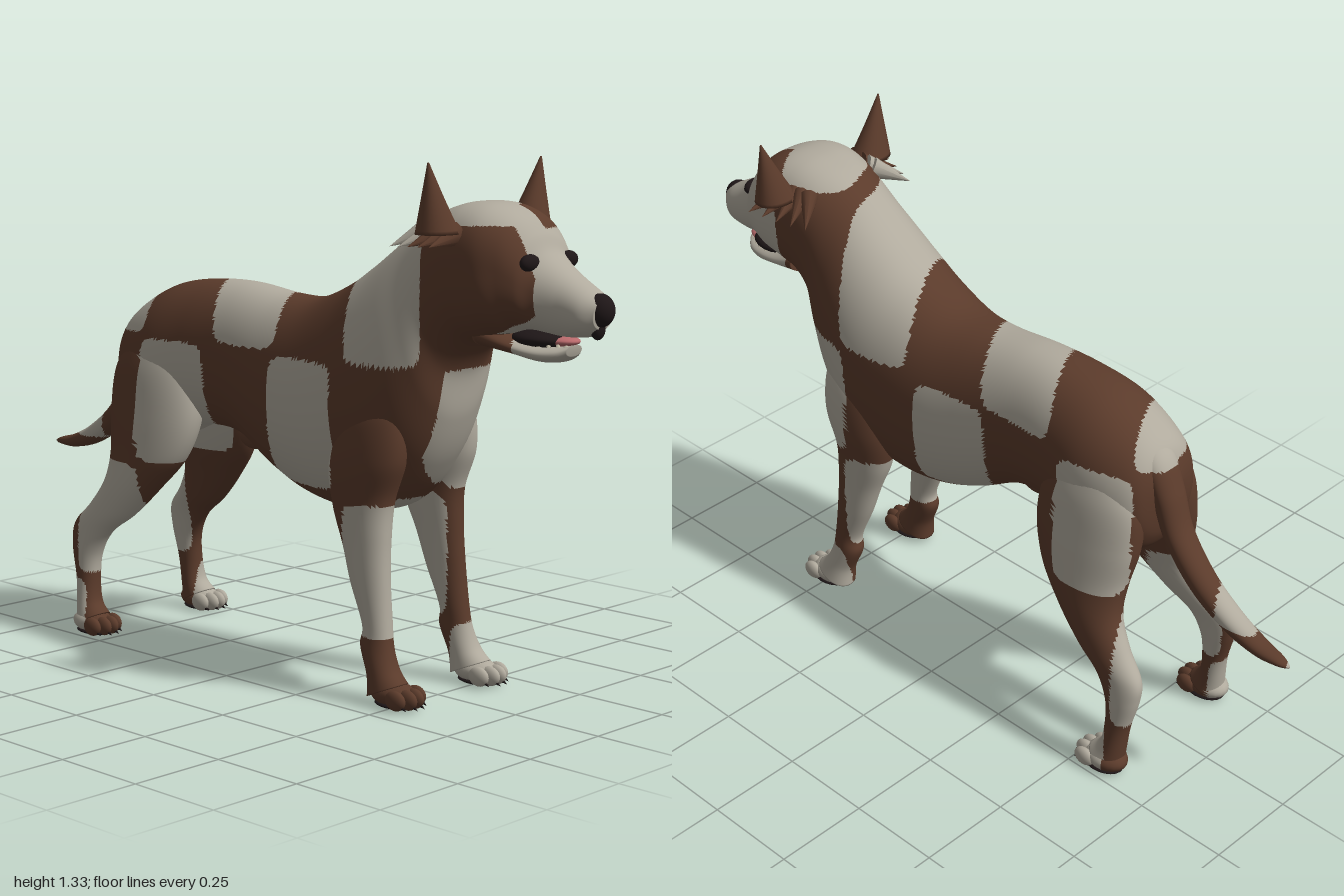
import * as THREE from 'three';

const mat = (name, color) => {
  const m = new THREE.MeshStandardMaterial({ color });
  m.name = name;
  return m;
};

// Coat pattern: slanted cells along the body crossed with bands by height,
// with the corners of the white patches rounded off
function isWhite(x, y, z) {
  // Blaze down the middle of the face beside a brown right cheek
  if (z > 0.7 && y > 0.93 && y < 1.24 && x < 0.03) return x > -0.06 || z > 0.84 || y > 1.185;
  // Brown right half of the chest
  if (z > 0.3 && y > 0.5 && y < 0.83 && x < -0.07) return false;
  let u = z + 0.5 * x;
  if (y > 0.5 && y < 0.83) u += 0.025;
  if (y < 0.17 && z < 0 && x < 0) u -= 0.045;
  const bandHeight = y > 0.83 ? 0.35 : 0.335;
  const wave = Math.sin((Math.PI * u) / 0.245) * Math.sin((Math.PI * (y - 0.83)) / bandHeight);
  return u > 0.95 || wave < (z < -0.7 ? 0 : -0.035);
}

// Sorts the faces into a white and a brown group
function coat(geo) {
  const p = geo.attributes.position, idx = geo.index.array, white = [], brown = [];
  for (let i = 0; i < idx.length; i += 3) {
    const t = [idx[i], idx[i + 1], idx[i + 2]];
    const mean = (get) => t.reduce((s, k) => s + get(k), 0) / 3;
    const w = isWhite(mean((k) => p.getX(k)), mean((k) => p.getY(k)), mean((k) => p.getZ(k)));
    (w ? white : brown).push(...t);
  }
  geo.setIndex([...white, ...brown]);
  geo.addGroup(0, white.length, 0);
  geo.addGroup(white.length, brown.length, 1);
  return geo;
}

// Smooth skin over oval sections: [z1, y1, z2, y2, halfWidth, centreX, roundness],
// where point 1 and point 2 are opposite ends of the section
function loft(rows, side = 1, seg = 36, sub = 9) {
  const full = rows.map((r) => [r[0], r[1], r[2], r[3], r[4], (r[5] || 0) * side, r[6] || 0.92]);
  const at = (i) => full[Math.max(0, Math.min(full.length - 1, i))];
  const rings = [];
  for (let i = 0; i < full.length - 1; i++) {
    for (let s = 0; s < sub; s++) {
      const t = s / sub;
      rings.push(full[i].map((_, k) => {
        const [a, b, c, d] = [at(i - 1)[k], at(i)[k], at(i + 1)[k], at(i + 2)[k]];
        return b + 0.5 * t * (c - a + t * (2 * a - 5 * b + 4 * c - d + t * (3 * (b - c) + d - a)));
      }));
    }
  }
  rings.push(at(full.length - 1));
  const closed = (r) => {
    const z = (r[0] + r[2]) / 2, y = (r[1] + r[3]) / 2;
    return [z, y, z, y, 0, r[5], 1];
  };
  rings.unshift(closed(rings[0]));
  rings.push(closed(rings[rings.length - 1]));
  const pos = [], index = [];
  rings.forEach(([z1, y1, z2, y2, w, cx, e], i) => {
    const round = (v) => Math.sign(v) * Math.abs(v) ** e;
    for (let j = 0; j < seg; j++) {
      const a = (j / seg) * Math.PI * 2, c = round(Math.cos(a)), s = round(Math.sin(a)) / 2;
      pos.push(cx + c * w, (y1 + y2) / 2 + s * (y1 - y2), (z1 + z2) / 2 + s * (z1 - z2));
      if (i === rings.length - 1) continue;
      const p = i * seg + j, q = i * seg + ((j + 1) % seg);
      index.push(p, q, p + seg, q, q + seg, p + seg);
    }
  });
  const geo = new THREE.BufferGeometry();
  geo.setAttribute('position', new THREE.Float32BufferAttribute(pos, 3));
  geo.setIndex(index);
  geo.computeVertexNormals();
  return geo;
}

const ball = (x, y, z, rx, ry, rz, n = 20) =>
  new THREE.SphereGeometry(1, n, Math.ceil(n * 0.7)).scale(rx, ry, rz).translate(x, y, z);

const TORSO = [
  [-0.595, 0.80, -0.595, 0.72, 0.04], [-0.565, 0.87, -0.58, 0.63, 0.105],
  [-0.50, 0.92, -0.53, 0.57, 0.14], [-0.40, 0.965, -0.42, 0.55, 0.157],
  [-0.28, 0.982, -0.30, 0.59, 0.147], [-0.15, 0.983, -0.15, 0.58, 0.14],
  [0, 0.965, 0, 0.50, 0.158], [0.12, 0.968, 0.12, 0.455, 0.175],
  [0.24, 1.015, 0.25, 0.44, 0.185], [0.33, 1.07, 0.40, 0.47, 0.19],
  [0.40, 1.12, 0.50, 0.58, 0.179], [0.46, 1.165, 0.555, 0.70, 0.162],
  [0.52, 1.20, 0.58, 0.82, 0.15, 0, 0.88], [0.575, 1.222, 0.63, 0.89, 0.147, 0, 0.8],
  [0.635, 1.235, 0.695, 0.915, 0.147, 0, 0.75], [0.70, 1.232, 0.745, 0.93, 0.145, 0.004, 0.75],
  [0.76, 1.208, 0.775, 0.94, 0.131, 0.01, 0.8], [0.80, 1.168, 0.805, 0.94, 0.112, 0.013, 0.88],
  [0.83, 1.122, 0.835, 0.935, 0.088, 0.016], [0.885, 1.08, 0.88, 0.93, 0.072, 0.02],
  [0.945, 1.045, 0.94, 0.935, 0.06, 0.02], [0.98, 1.025, 0.972, 0.955, 0.038, 0.02],
];
const JAW = [
  [0.67, 0.96, 0.66, 0.89, 0.09, 0.012], [0.75, 0.925, 0.75, 0.88, 0.08, 0.015],
  [0.82, 0.91, 0.82, 0.867, 0.066, 0.018], [0.87, 0.908, 0.865, 0.87, 0.05, 0.02],
  [0.895, 0.912, 0.89, 0.885, 0.028, 0.02],
];
const TAIL = [
  [-1, 0.46, -1, 0.454, 0.004, 0.025], [-0.97, 0.472, -0.97, 0.45, 0.018, 0.025],
  [-0.91, 0.488, -0.905, 0.45, 0.028, 0.024], [-0.83, 0.525, -0.81, 0.475, 0.034, 0.022],
  [-0.74, 0.59, -0.70, 0.54, 0.038, 0.02], [-0.665, 0.68, -0.61, 0.645, 0.042, 0.018],
  [-0.625, 0.78, -0.565, 0.75, 0.046, 0.015], [-0.575, 0.865, -0.535, 0.80, 0.05, 0.01],
  [-0.48, 0.90, -0.49, 0.82, 0.045, 0.005],
];
const FRONT_LEG = [
  [0.46, 0.78, 0.34, 0.76, 0.03, 0.12], [0.49, 0.70, 0.29, 0.68, 0.057, 0.126],
  [0.49, 0.6, 0.265, 0.57, 0.066, 0.13], [0.455, 0.5, 0.28, 0.47, 0.058, 0.13],
  [0.45, 0.4, 0.315, 0.38, 0.047, 0.135], [0.455, 0.3, 0.345, 0.29, 0.04, 0.14],
  [0.465, 0.2, 0.388, 0.19, 0.035, 0.143], [0.475, 0.14, 0.385, 0.14, 0.036, 0.147],
  [0.495, 0.09, 0.415, 0.07, 0.04, 0.152], [0.525, 0.06, 0.42, 0.015, 0.046, 0.155],
];
const HIND_LEG = [
  [-0.34, 0.84, -0.50, 0.84, 0.045, 0.085], [-0.28, 0.74, -0.57, 0.74, 0.076, 0.09],
  [-0.265, 0.62, -0.578, 0.62, 0.08, 0.105], [-0.30, 0.51, -0.56, 0.51, 0.072, 0.125],
  [-0.375, 0.42, -0.565, 0.43, 0.058, 0.148], [-0.455, 0.34, -0.61, 0.36, 0.045, 0.165],
  [-0.53, 0.285, -0.665, 0.30, 0.036, 0.178], [-0.57, 0.22, -0.667, 0.24, 0.034, 0.185],
  [-0.578, 0.15, -0.645, 0.15, 0.032, 0.19], [-0.57, 0.09, -0.635, 0.07, 0.036, 0.195],
  [-0.54, 0.06, -0.63, 0.015, 0.044, 0.198],
];
const EAR = [
  [0.637, 1.332, 0.633, 1.332, 0.002, 0.205], [0.657, 1.25, 0.61, 1.25, 0.029, 0.187],
  [0.68, 1.165, 0.585, 1.165, 0.058, 0.167],
];

export function createModel() {
  const dog = new THREE.Group();
  dog.name = 'dog';
  const white = mat('white coat', 0xb0aa9d), brown = mat('brown coat', 0x5b3b2b);
  const dark = mat('dark skin', 0x1f1718), pink = mat('tongue pink', 0xb96a6c);
  const ivory = mat('tooth ivory', 0xd2cab4);
  const add = (name, geo, material, parent = dog) => {
    const mesh = new THREE.Mesh(geo, material);
    mesh.name = name;
    parent.add(mesh);
  };
  const addCoat = (name, geo, parent) => add(name, coat(geo), [white, brown], parent);

  // Body, head and tail
  addCoat('body', loft(TORSO, 1, 132, 12));
  addCoat('lowerJaw', loft(JAW, 1, 40, 8));
  addCoat('tail', loft(TAIL, 1, 40, 10));
  add('sheath', ball(0, 0.575, -0.15, 0.025, 0.035, 0.055), brown);

  // Nose and mouth
  add('nose', ball(0.02, 0.998, 0.965, 0.036, 0.04, 0.035), dark);
  add('lipCrease', ball(0.02, 0.955, 0.96, 0.02, 0.026, 0.016), dark);
  add('mouth', ball(0.017, 0.92, 0.80, 0.066, 0.022, 0.08), dark);
  add('tongue', ball(0.02, 0.919, 0.84, 0.042, 0.014, 0.064), pink);
  for (let i = 0; i < 11; i++) {
    const a = (i / 10) * Math.PI;
    const tooth = new THREE.ConeGeometry(0.006, 0.02, 6);
    add('tooth', tooth.translate(0.02 + Math.cos(a) * 0.052, 0.917, 0.80 + Math.sin(a) * 0.085), ivory);
  }

  for (const side of [1, -1]) {
    const label = side > 0 ? 'left' : 'right';

    // Eyes
    add(label + 'Eye', ball(0.015 + side * 0.071, 1.102, 0.818, 0.031, 0.021, 0.017), dark);

    // Ears with ragged tufts under them
    add(label + 'Ear', loft(EAR, side, 24, 6), brown);
    for (let i = 0; i < 5; i++) {
      const tuft = new THREE.ConeGeometry(0.03, 0.11, 10).scale(1, 1, 0.8);
      tuft.rotateZ(-side * (1.8 + 0.05 * i)).rotateY(side * (0.2 * i - 0.1));
      tuft.translate(side * (0.182 - 0.008 * i), 1.152, 0.66 - 0.032 * i);
      add(label + 'EarTuft', tuft, side < 0 && i > 2 ? white : brown);
    }

    // Legs with paws, toes, claws and soles
    for (const [name, rows, x, z] of [['FrontLeg', FRONT_LEG, 0.155, 0.5], ['HindLeg', HIND_LEG, 0.2, -0.575]]) {
      const leg = new THREE.Group();
      leg.name = label + name;
      dog.add(leg);
      addCoat('limb', loft(rows, side, 40, 9), leg);
      addCoat('paw', ball(side * x, 0.034, z - 0.01, 0.046, 0.032, 0.062), leg);
      add('sole', ball(side * x, 0.009, z, 0.042, 0.009, 0.06), dark, leg);
      for (let i = 0; i < 4; i++) {
        const tx = side * x + (i - 1.5) * 0.025, tz = z + (i % 3 ? 0.048 : 0.032);
        add('toe', ball(tx, 0.029, tz, 0.0155, 0.025, 0.031, 16), side > 0 ? white : brown, leg);
        const claw = new THREE.ConeGeometry(0.007, 0.024, 8).rotateX(2);
        add('claw', claw.translate(tx, 0.014, tz + 0.025), dark, leg);
      }
    }
  }
  return dog;
}
